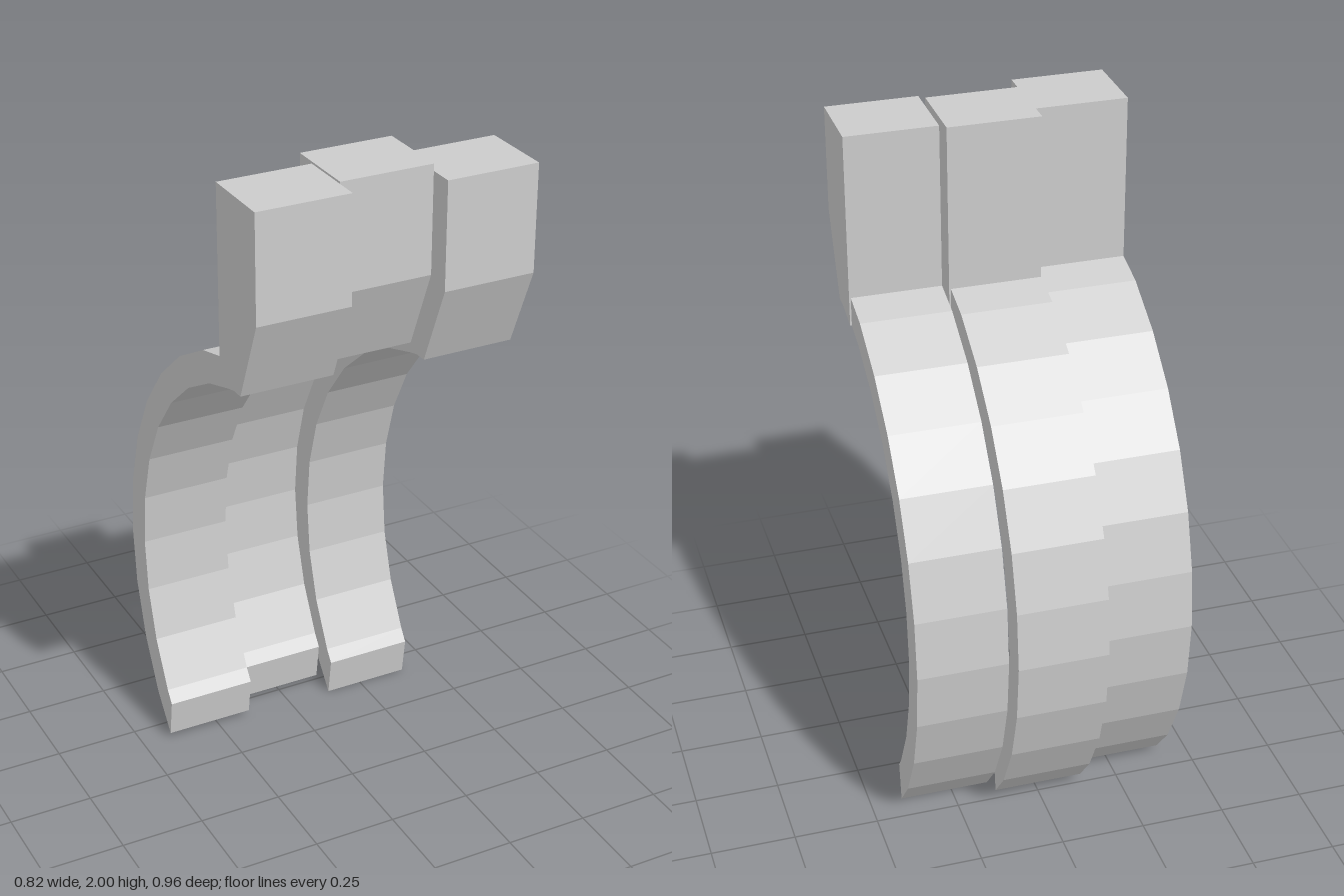
import * as THREE from 'three';

const CZ = 0.513, CY = 0.614;      // centre of the curved band
const STEP = Math.PI * 11.1 / 180; // one facet of the band

// Side profiles are lists of [z, y], extruded along +x from x0
function extrudeSide(points, x0, width, name, material) {
  const shape = new THREE.Shape(points.map(([z, y]) => new THREE.Vector2(-z, y)));
  const geometry = new THREE.ExtrudeGeometry(shape, { depth: width, bevelEnabled: false });
  geometry.rotateY(Math.PI / 2);
  geometry.translate(x0, 0, 0);
  const mesh = new THREE.Mesh(geometry, material);
  mesh.name = name;
  return mesh;
}

const onArc = (radius, i) => [
  CZ - radius * Math.cos(i * STEP),
  CY + radius * Math.sin(i * STEP),
];

function bandProfile() {
  const points = [[0.37, 1.43]];
  for (let i = 7; i >= -3; i--) points.push(onArc(0.829, i)); // inner face
  points.push([-0.153, 0.122], [-0.17, 0.004]);               // cut lower end
  for (let i = -3; i <= 6; i++) points.push(onArc(0.92, i));  // outer face
  points.push([0.254, 1.487]);
  return points;
}

const blockProfile = [
  [0.254, 1.978], [0.479, 1.978], [0.479, 1.665],
  [0.379, 1.424], [0.339, 1.423], [0.254, 1.4],
];

export function createModel() {
  const model = new THREE.Group();
  model.name = 'segmentedHook';
  const material = new THREE.MeshStandardMaterial({ color: 0xcccccc, flatShading: true });

  // Three side-by-side segments, each slightly shifted
  const segments = [
    { name: 'rightSegment', x: -0.412, y: 0.017, z: 0 },
    { name: 'middleSegment', x: -0.138, y: 0.022, z: -0.07 },
    { name: 'leftSegment', x: 0.137, y: 0, z: 0 },
  ];
  for (const { name, x, y, z } of segments) {
    const segment = new THREE.Group();
    segment.name = name;
    segment.position.set(0, y, z);
    segment.add(
      extrudeSide(blockProfile, x, 0.273, 'topBlock', material),
      extrudeSide(bandProfile(), x, 0.268, 'curvedBand', material),
    );
    model.add(segment);
  }
  return model;
}
